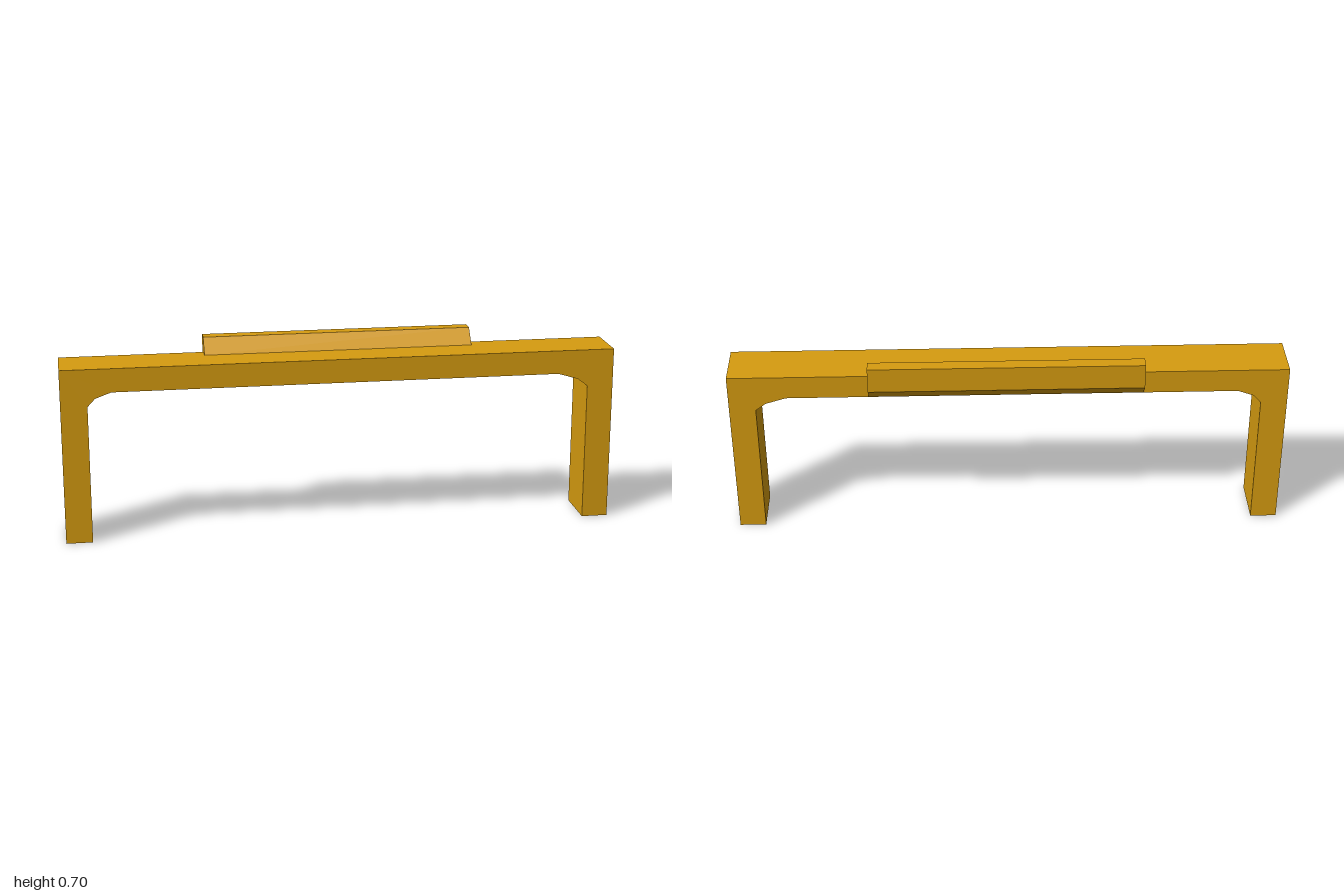
import * as THREE from 'three';

const material = new THREE.MeshStandardMaterial({ color: 0xd69c10, flatShading: true });

// Closed prism from a 2D outline
function prism(name, points, depth) {
  const shape = new THREE.Shape(points.map(([x, y]) => new THREE.Vector2(x, y)));
  const geometry = new THREE.ExtrudeGeometry(shape, { depth, bevelEnabled: false });
  const mesh = new THREE.Mesh(geometry, material);
  mesh.name = name;
  return mesh;
}

export function createModel() {
  const group = new THREE.Group();
  group.name = 'archFrame';

  // Two legs and a crossbeam with faceted inner corners
  const frame = prism('frame', [
    [-1, 0], [-0.905, 0], [-0.905, 0.505], [-0.878, 0.534], [-0.82, 0.555],
    [0.795, 0.555], [0.868, 0.533], [0.905, 0.505], [0.905, 0], [1, 0],
    [1, 0.641], [-1, 0.641],
  ], 0.183);
  frame.position.z = -0.069;

  // Bevelled rail along the back of the beam, outline given as (-z, y)
  const rail = prism('backRail', [
    [0.021, 0.641], [0.069, 0.555], [0.116, 0.604], [0.116, 0.696], [0.068, 0.696],
  ], 0.98);
  rail.geometry.rotateY(Math.PI / 2);
  rail.position.x = -0.48;

  group.add(frame, rail);
  // Slight yaw of the whole piece
  group.rotation.y = -0.0057;
  return group;
}
